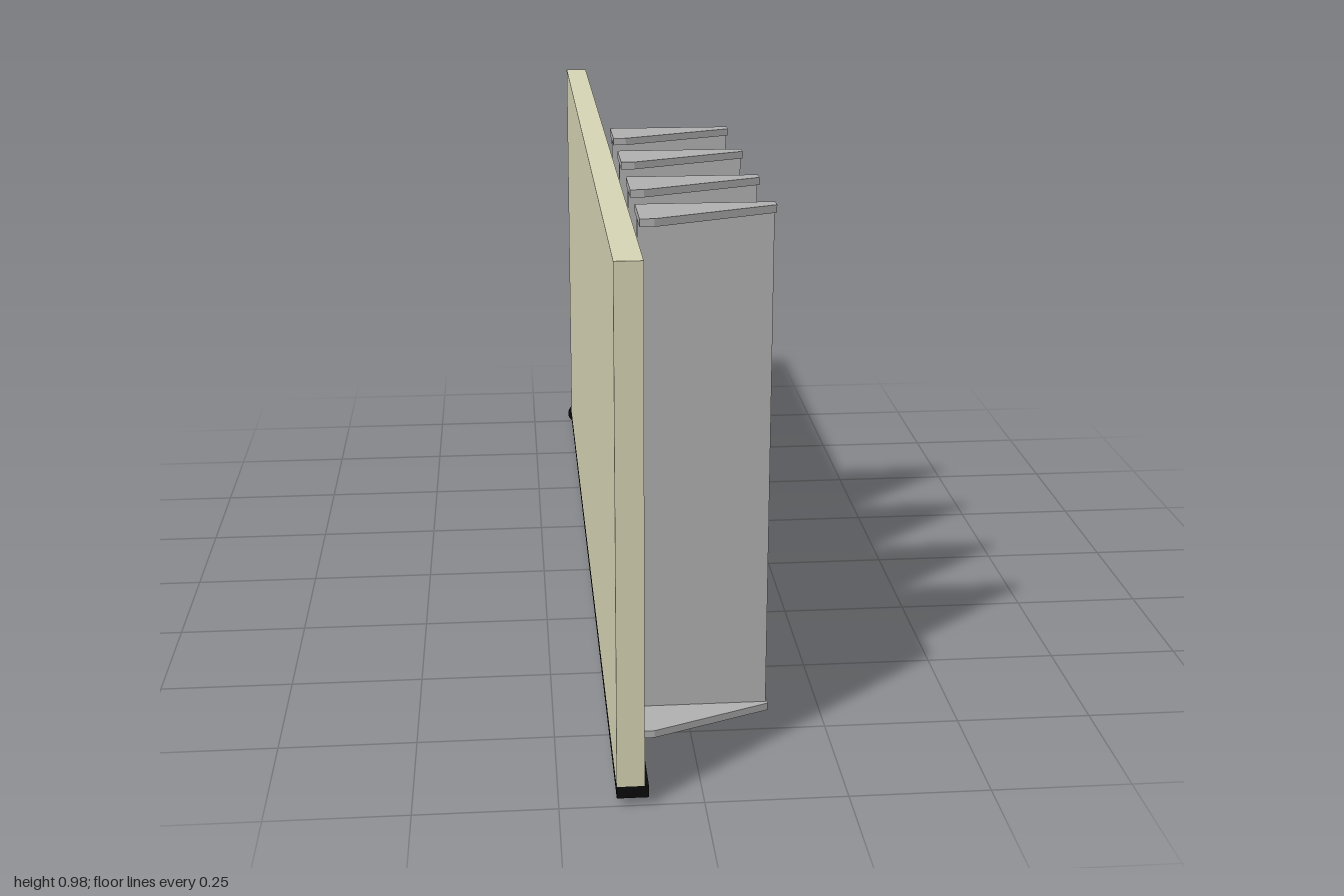
import * as THREE from 'three';

const cream = new THREE.MeshStandardMaterial({ color: 0xd8d7b6 });
const grey = new THREE.MeshStandardMaterial({ color: 0xb2b2b2 });
const black = new THREE.MeshStandardMaterial({ color: 0x0a0a0a });

// Box given by its two opposite corners
function box(name, material, min, max) {
  const size = max.map((v, i) => v - min[i]);
  const mesh = new THREE.Mesh(new THREE.BoxGeometry(...size), material);
  mesh.position.set(...max.map((v, i) => (v + min[i]) / 2));
  mesh.name = name;
  return mesh;
}

// Tapered horizontal plate, its back edge at z = 0
function plate(name, top, thickness) {
  const outline = [[-0.095, 0], [0.148, 0], [0.148, 0.025], [-0.07, 0.113], [-0.095, 0.113]];
  const shape = new THREE.Shape(outline.map(([x, z]) => new THREE.Vector2(x, z)));
  const geometry = new THREE.ExtrudeGeometry(shape, { depth: thickness, bevelEnabled: false });
  geometry.rotateX(Math.PI / 2);
  const mesh = new THREE.Mesh(geometry, grey);
  mesh.position.y = top;
  mesh.name = name;
  return mesh;
}

// Upright sheet with a plate at each end
function divider(z) {
  const group = new THREE.Group();
  group.name = 'divider';
  group.add(
    box('dividerSheet', grey, [-0.092, 0.03, 0.003], [0.145, 0.967, 0.018]),
    plate('topPlate', 0.98, 0.014),
    plate('bottomPlate', 0.032, 0.014)
  );
  group.position.z = z;
  return group;
}

// Disc on a short axle, facing backward
function wheel(x) {
  const group = new THREE.Group();
  group.name = 'wheel';
  const disc = new THREE.Mesh(new THREE.CylinderGeometry(0.023, 0.023, 0.008, 32), black);
  disc.name = 'wheelDisc';
  disc.position.z = -0.996;
  const axle = new THREE.Mesh(new THREE.CylinderGeometry(0.007, 0.007, 0.03, 16), black);
  axle.name = 'wheelAxle';
  axle.position.z = -0.98;
  for (const part of [disc, axle]) part.rotation.x = Math.PI / 2;
  group.add(disc, axle);
  group.position.set(x, 0.023, 0);
  return group;
}

export function createModel() {
  const model = new THREE.Group();
  model.name = 'displayPanel';

  // Large panel on its base rail
  model.add(box('panel', cream, [-0.151, 0.037, -0.973], [-0.103, 0.96, 1]));
  model.add(box('baseRail', black, [-0.151, 0.015, -0.973], [-0.096, 0.037, 1]));

  // Sideways foot at the back, with two wheels
  model.add(box('foot', black, [-0.1, 0.015, -0.973], [0.148, 0.037, -0.93]));
  for (const x of [-0.136, 0.134]) model.add(wheel(x));

  // Row of dividers
  for (const z of [-0.03, 0.213, 0.46, 0.687]) model.add(divider(z));

  return model;
}
